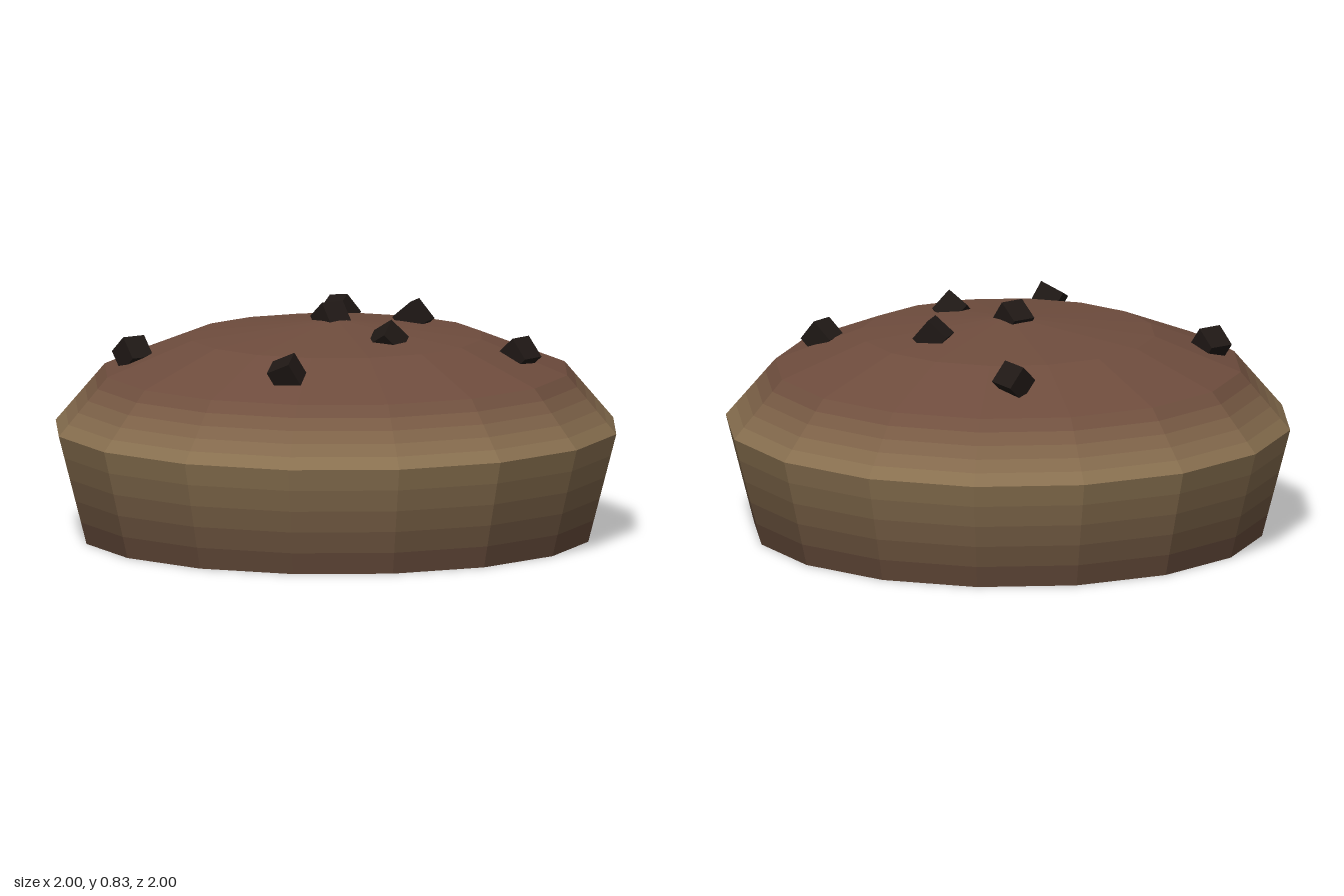
import * as THREE from 'three';

const SIDES = 16;

function material(color) {
  return new THREE.MeshStandardMaterial({ color, flatShading: true });
}

// One faceted ring of the body, split into strips that blend between two colours
function band(name, from, to, colorFrom, colorTo, strips) {
  const group = new THREE.Group();
  group.name = name;
  const a = new THREE.Vector2(...from);
  const b = new THREE.Vector2(...to);
  const c0 = new THREE.Color(colorFrom);
  const c1 = new THREE.Color(colorTo);
  for (let i = 0; i < strips; i++) {
    const points = [i / strips, (i + 1) / strips].map((t) => a.clone().lerp(b, t));
    const color = c0.clone().lerp(c1, (i + 0.5) / strips);
    const strip = new THREE.Mesh(new THREE.LatheGeometry(points, SIDES), material(color));
    strip.name = name + 'Strip';
    group.add(strip);
  }
  return group;
}

export function createModel() {
  const model = new THREE.Group();
  model.name = 'cookie';

  // Body, from the middle of the underside up to the crown
  const dough = 0x6e4c3d, golden = 0x8c7452, lower = 0x5e4336;
  model.add(
    band('underside', [0, 0], [0.9, 0], 0x1c1512, 0x553c30, 6),
    band('wall', [0.9, 0], [1, 0.385], lower, golden, 5),
    band('shoulder', [1, 0.385], [0.825, 0.59], golden, dough, 5),
    band('upperSlope', [0.825, 0.59], [0.52, 0.71], dough, dough, 1),
    band('crown', [0.52, 0.71], [0, 0.77], dough, dough, 1),
  );

  // Chocolate chips: position, then turn (y) and tilts (x, z) in degrees
  const chips = [
    [-0.03, 0.765, 0, 0, 0, 38],
    [-0.39, 0.65, 0.6, 0, 0, 40],
    [0.42, 0.675, 0.51, 40, 20, 25],
    [0.315, 0.73, 0, 35, 30, 35],
    [0.495, 0.665, -0.44, 15, 0, 40],
    [0.005, 0.745, -0.33, 35, 0, 40],
    [-0.53, 0.69, -0.39, 15, 40, 10],
  ];
  const chipGeometry = new THREE.BoxGeometry(0.09, 0.09, 0.09);
  const chipMaterial = material(0x1f1815);
  for (const [x, y, z, turn, tiltX, tiltZ] of chips) {
    const chip = new THREE.Mesh(chipGeometry, chipMaterial);
    chip.name = 'chocolateChip';
    chip.position.set(x, y, z);
    const [rx, ry, rz] = [tiltX, turn, tiltZ].map(THREE.MathUtils.degToRad);
    chip.rotation.set(rx, ry, rz, 'YXZ');
    model.add(chip);
  }

  return model;
}
